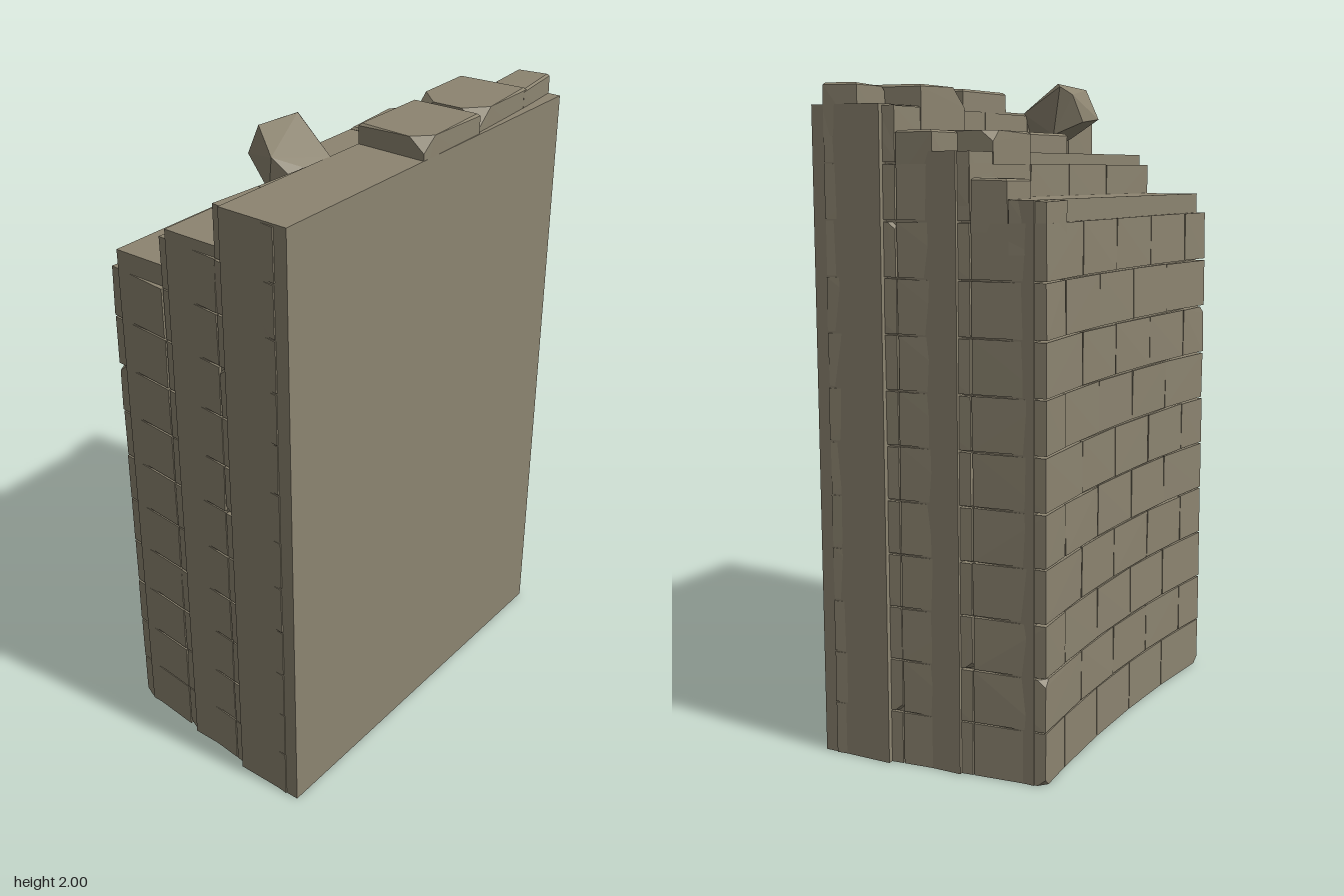
import * as THREE from 'three';
import { ConvexGeometry } from 'three/addons/geometries/ConvexGeometry.js';

const CX = -5.9;          // centre of the wall's gentle curve
const R0 = 5.57;          // inner radius
const DEPTH = 0.225;      // thickness of one stone layer
const COURSE = 0.159;     // height of one course
const END = 0.106;        // half angle of the wall

let seed = 7;
function rand() {
  seed = (seed * 16807) % 2147483647;
  return seed / 2147483647;
}

// Curved-wall stone: radii r0..r1, heights y0..y1, angles a0..a1.
// Chips is a list of corner signs [r, y, a, size] to knock off.
function stoneGeometry(r0, r1, y0, y1, a0, a1, { chips = [], bevel = 0, jitter = 0 } = {}) {
  const gap = 0.002;
  const points = [];
  const add = (r, y, s) => {
    const a = s / 6;
    points.push(new THREE.Vector3(CX + r * Math.cos(a), y, r * Math.sin(a)));
  };
  const s0 = a0 * 6 + gap, s1 = a1 * 6 - gap;
  for (const i of [-1, 1]) for (const j of [-1, 1]) for (const k of [-1, 1]) {
    const r = (i < 0 ? r0 + gap : r1 - gap) + (rand() - 0.5) * jitter;
    const y = (j < 0 ? y0 + gap : y1) + (j < 0 ? 0 : (rand() - 1) * jitter);
    const s = (k < 0 ? s0 : s1) + (rand() - 0.5) * jitter;
    const chip = chips.find(c => c[0] === i && c[1] === j && c[2] === k);
    if (chip) {
      const d = chip[3];
      add(r - i * d, y, s);
      add(r, y - j * d * 0.8, s);
      add(r, y, s - k * d);
    } else if (bevel && j > 0) {
      add(r - i * bevel, y, s - k * bevel);
      add(r, y - bevel, s);
    } else add(r, y, s);
  }
  return new ConvexGeometry(points);
}

export function createModel() {
  const model = new THREE.Group();
  const stoneMaterial = new THREE.MeshStandardMaterial({ color: 0x8c8470 });
  stoneMaterial.name = 'weathered stone';

  const addMesh = (parent, name, geometry) => {
    const mesh = new THREE.Mesh(geometry, stoneMaterial);
    mesh.name = name;
    parent.add(mesh);
    return mesh;
  };

  // Three stepped solid slabs inside the wall
  const slabs = [
    [-0.325, -0.1, 1.65, 0.595],
    [-0.1, 0.125, 1.78, 0.625],
    [0.125, 0.35, 1.91, 0.655],
  ];
  for (const [x0, x1, h, z] of slabs) {
    const slab = addMesh(model, 'coreSlab', new THREE.BoxGeometry(x1 - x0, h, z * 2));
    slab.position.set((x0 + x1) / 2, h / 2, 0);
  }

  // Curved masonry layers in running bond, lowest layer on the inner side
  const joints = [-END, -0.079, -0.034, 0.0115, 0.056, END];
  const masonry = new THREE.Group();
  masonry.name = 'masonry';
  model.add(masonry);
  for (let layer = 0; layer < 3; layer++) {
    const r = R0 + layer * DEPTH;
    for (let c = 0; c < 10 + layer; c++) {
      const row = c % 2 ? joints.map(a => -a).reverse() : joints;
      for (let n = 0; n < row.length - 1; n++) {
        const atEnd = n === 0 ? -1 : n === row.length - 2 ? 1 : 0;
        const chips = atEnd && rand() < 0.2
          ? [[-1, rand() < 0.5 ? 1 : -1, atEnd, 0.025]] : [];
        const y1 = (c + 1) * COURSE - 0.002;
        addMesh(masonry, 'wallStone', stoneGeometry(
          r, r + DEPTH, c * COURSE - (c ? 0 : 0.002), y1, row[n], row[n + 1],
          { chips, jitter: c ? 0.003 : 0 }));
      }
    }
  }

  // Half-width stones climbing the back end in steps
  const cap = new THREE.Group();
  cap.name = 'topStones';
  model.add(cap);
  for (let i = 0; i < 6; i++) {
    const r = R0 + i * DEPTH / 2;
    const top = [1.65, 1.71, 1.78, 1.84, 1.909, 1.97][i];
    const chips = i === 1 ? [[1, 1, 1, 0.035]] : i === 5 ? [[-1, 1, 1, 0.03]] : [];
    addMesh(cap, 'endStone', stoneGeometry(r, r + DEPTH / 2, top - 0.15, top,
      -END, i % 2 ? -0.077 : -0.079, { chips, bevel: i % 2 ? 0.006 : 0, jitter: 0.006 }));
  }

  // Large stones left on the two upper steps
  const loose = [
    [6.023, 6.252, 1.97, -0.034, 0.0118, [[1, 1, 1, 0.05]]],
    [6.015, 6.245, 1.97, -0.08, -0.0345, [[-1, 1, 1, 0.07], [1, 1, 1, 0.06]]],
    [5.803, 6.025, 1.84, -0.032, 0.0118, []],
    [5.798, 6.02, 1.84, -0.077, -0.033, [[1, 1, 1, 0.04], [-1, 1, -1, 0.04]]],
  ];
  for (const [r0, r1, top, a0, a1, chips] of loose) {
    addMesh(cap, 'capStone', stoneGeometry(r0, r1, top - 0.15, top, a0, a1, { chips, bevel: 0.007 }));
  }

  // Tumbled rock lying on the middle step
  const rock = [
    [-0.01, 2.0, 0.17], [-0.03, 1.99, 0.145], [-0.055, 1.985, 0.285], [-0.065, 1.965, 0.165],
    [-0.105, 1.89, 0.275], [-0.085, 1.88, 0.2], [0.13, 1.91, 0.2], [0.16, 1.88, 0.25],
    [0.12, 1.87, 0.33], [0.04, 1.93, 0.345], [0.03, 1.83, 0.345], [0.09, 1.8, 0.32],
    [0.09, 1.8, 0.22], [0.0, 1.84, 0.16],
  ].map(p => new THREE.Vector3(...p));
  addMesh(model, 'fallenRock', new ConvexGeometry(rock));

  return model;
}
